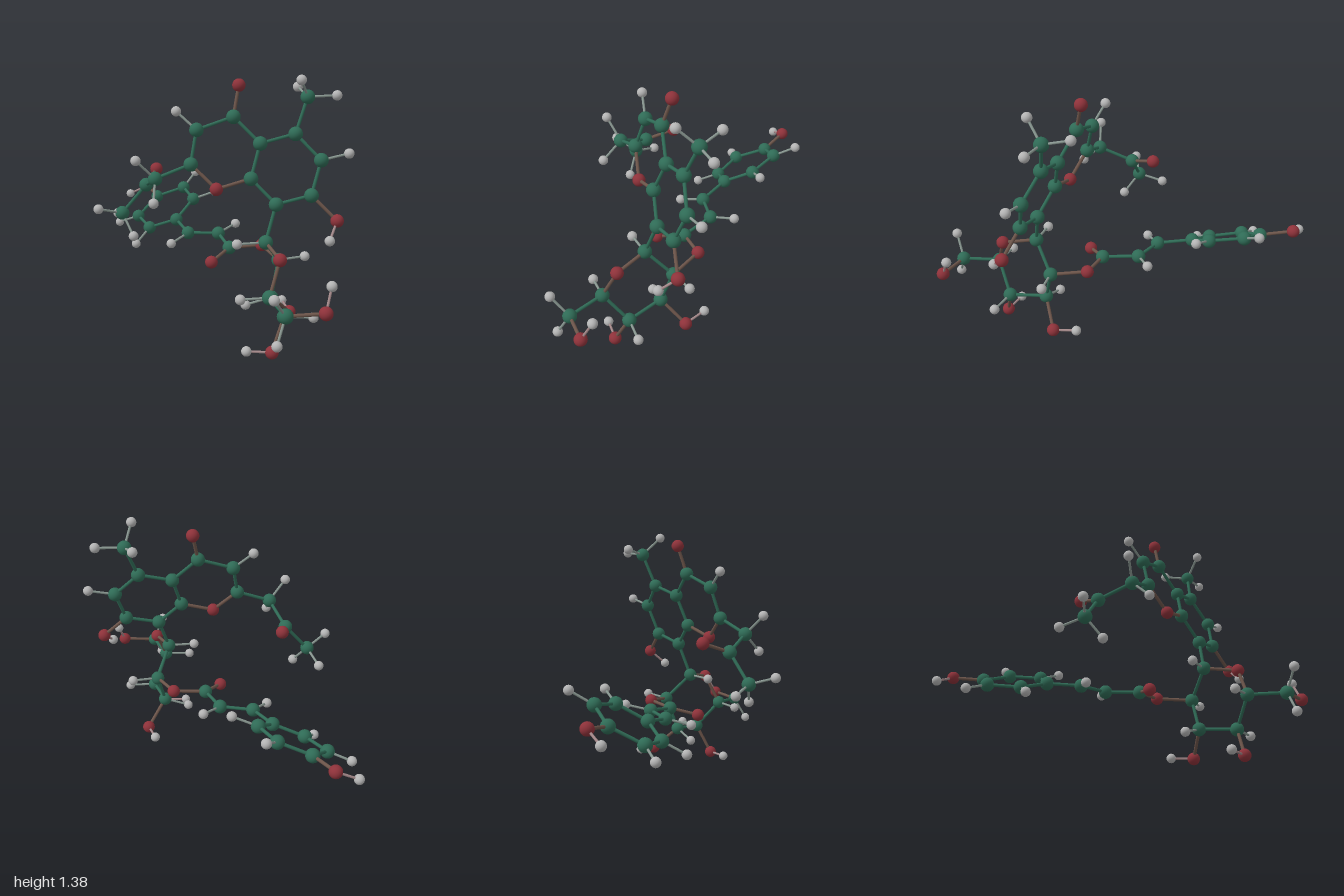
import * as THREE from 'three';

// Element styles: ball radius and colour
const STYLE = {
  C: { name: 'carbon', radius: 0.037, color: 0x2f6b56 },
  O: { name: 'oxygen', radius: 0.034, color: 0x8e323a },
  H: { name: 'hydrogen', radius: 0.026, color: 0xb4b4b4 },
};

// Atoms of each section: element followed by centre
const SECTIONS = {
  doubleRing: [
    ['C', 0.14, 0.922, 0.144], ['C', 0.12, 1.09, 0.093], ['H', 0.035, 1.18, 0.158],
    ['C', 0.227, 1.156, -0.06], ['O', 0.21, 1.31, -0.107], ['C', 0.34, 1.027, -0.144],
    ['C', 0.35, 0.856, -0.078], ['O', 0.249, 0.802, 0.064], ['C', 0.441, 1.075, -0.29],
    ['C', 0.553, 0.949, -0.366], ['H', 0.634, 0.983, -0.479], ['C', 0.559, 0.778, -0.3],
    ['C', 0.457, 0.732, -0.155], ['O', 0.666, 0.656, -0.38], ['H', 0.703, 0.576, -0.295],
    ['C', 0.441, 1.255, -0.366], ['H', 0.489, 1.352, -0.272], ['H', 0.313, 1.288, -0.418],
    ['H', 0.532, 1.263, -0.481],
  ],
  sideChain: [
    ['C', 0.04, 0.849, 0.295], ['H', 0.013, 0.951, 0.393], ['H', 0.12, 0.748, 0.36],
    ['C', -0.131, 0.774, 0.237], ['O', -0.217, 0.827, 0.112], ['C', -0.2, 0.622, 0.346],
    ['H', -0.215, 0.662, 0.483], ['H', -0.326, 0.583, 0.297], ['H', -0.11, 0.513, 0.336],
  ],
  saturatedRing: [
    ['C', 0.463, 0.547, -0.086], ['H', 0.382, 0.539, 0.035], ['O', 0.636, 0.515, -0.026],
    ['C', 0.658, 0.347, 0.056], ['H', 0.57, 0.335, 0.167], ['C', 0.414, 0.41, -0.222],
    ['H', 0.479, 0.422, -0.348], ['C', 0.436, 0.223, -0.158], ['H', 0.345, 0.175, -0.06],
    ['O', 0.425, 0.102, -0.302], ['H', 0.309, 0.117, -0.353], ['C', 0.623, 0.201, -0.077],
    ['H', 0.719, 0.201, -0.186], ['O', 0.634, 0.035, 0.009], ['H', 0.548, 0.035, 0.103],
    ['C', 0.848, 0.336, 0.127], ['H', 0.869, 0.444, 0.22], ['H', 0.869, 0.212, 0.196],
    ['O', 0.965, 0.353, -0.015], ['H', 0.939, 0.464, -0.073],
  ],
  linkChain: [
    ['O', 0.227, 0.432, -0.269], ['C', 0.117, 0.415, -0.133], ['O', 0.153, 0.374, 0.018],
    ['C', -0.064, 0.437, -0.2], ['H', -0.078, 0.466, -0.336], ['C', -0.2, 0.426, -0.088],
    ['H', -0.179, 0.393, 0.045],
  ],
  flatRing: [
    ['C', -0.382, 0.452, -0.136], ['C', -0.422, 0.543, -0.29], ['H', -0.323, 0.597, -0.375],
    ['C', -0.596, 0.57, -0.345], ['H', -0.629, 0.643, -0.46], ['C', -0.73, 0.501, -0.238],
    ['O', -0.901, 0.527, -0.281], ['H', -0.976, 0.473, -0.195], ['C', -0.693, 0.411, -0.072],
    ['H', -0.794, 0.361, 0.002], ['C', -0.516, 0.388, -0.035], ['H', -0.484, 0.318, 0.083],
  ],
};

const UP = new THREE.Vector3(0, 1, 0);

export function createModel() {
  const model = new THREE.Group();
  model.name = 'ballAndStickModel';
  const balls = {}, materials = {};
  for (const [key, s] of Object.entries(STYLE)) {
    balls[key] = new THREE.SphereGeometry(s.radius, 24, 16);
    materials[key] = new THREE.MeshStandardMaterial({ color: s.color });
  }
  const atoms = [];

  // Balls
  for (const [section, list] of Object.entries(SECTIONS)) {
    const group = new THREE.Group();
    group.name = section;
    model.add(group);
    for (const [element, x, y, z] of list) {
      const ball = new THREE.Mesh(balls[element], materials[element]);
      ball.name = STYLE[element].name + 'Ball';
      ball.position.set(x, y, z);
      group.add(ball);
      atoms.push({ element, position: ball.position, group });
    }
  }

  // Sticks join neighbouring balls, coloured between the two ends
  const stickMaterial = (a, b) => {
    if (a === b) return materials[a];
    const key = [a, b].sort().join('');
    materials[key] ??= new THREE.MeshStandardMaterial({
      color: materials[a].color.clone().lerp(materials[b].color, 0.5),
    });
    return materials[key];
  };
  atoms.forEach((a, i) => atoms.slice(i + 1).forEach((b) => {
    const hydrogens = (a.element === 'H') + (b.element === 'H');
    const span = b.position.clone().sub(a.position);
    const length = span.length();
    if (hydrogens === 2 || length > (hydrogens ? 0.18 : 0.24)) return;
    const radius = hydrogens ? 0.0065 : 0.009;
    const stick = new THREE.Mesh(
      new THREE.CylinderGeometry(radius, radius, length, 12, 1, true),
      stickMaterial(a.element, b.element));
    stick.name = 'stick';
    stick.position.copy(a.position).addScaledVector(span, 0.5);
    stick.quaternion.setFromUnitVectors(UP, span.normalize());
    a.group.add(stick);
  }));
  return model;
}
